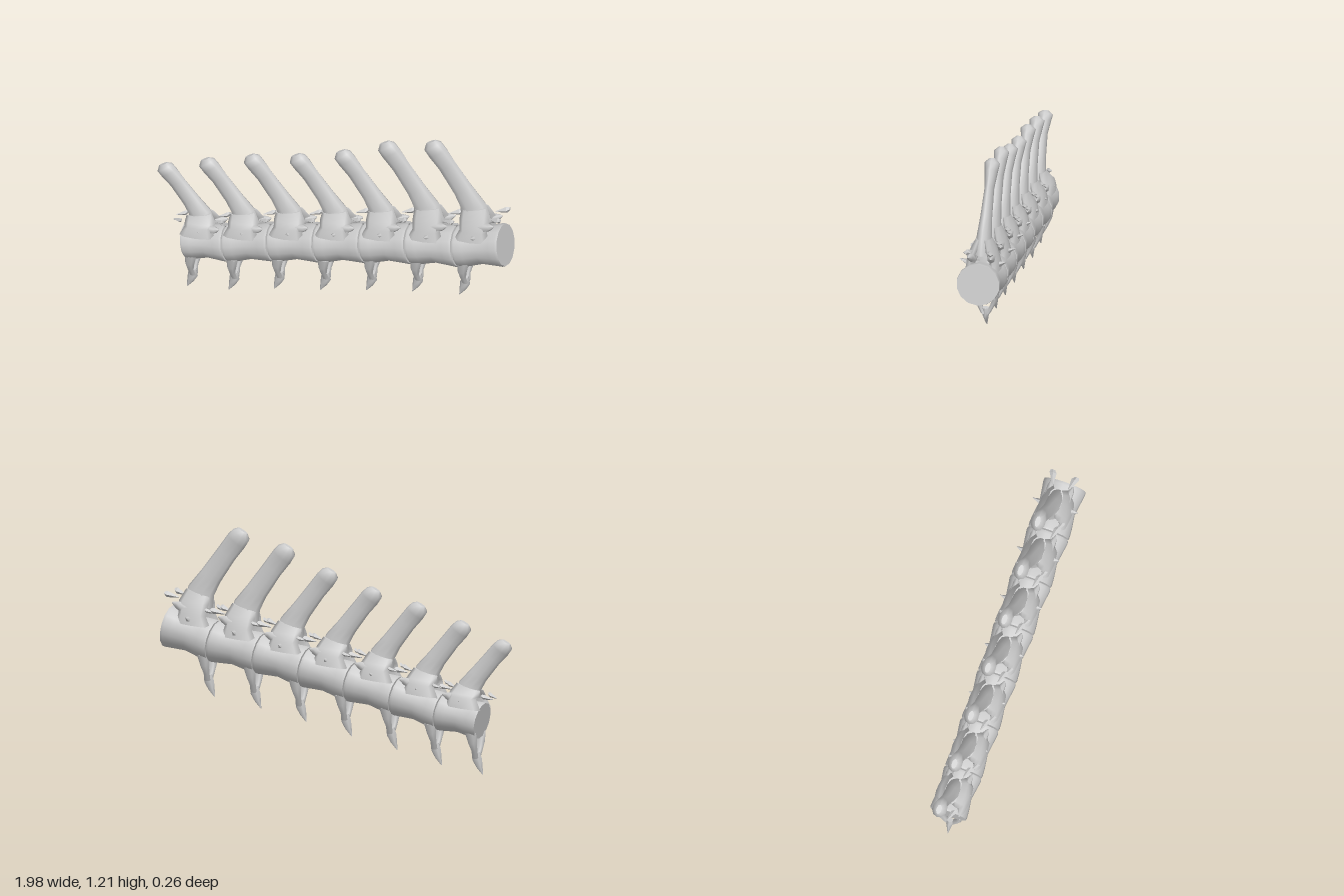
import * as THREE from 'three';

const material = new THREE.MeshStandardMaterial({ color: 0xcccccc, side: THREE.DoubleSide });

// Skin over elliptical rings [x, y, z, direction in degrees, half width, half depth]
function loft(name, rings, sides = 10) {
  const pos = [], index = [];
  const ringPoint = ([x, y, z, deg, a, b], j) => {
    const phi = THREE.MathUtils.degToRad(deg), th = (j / sides) * Math.PI * 2;
    const u = a * Math.cos(th);
    return [x + Math.sin(phi) * u, y - Math.cos(phi) * u, z + b * Math.sin(th)];
  };
  rings.forEach((r) => { for (let j = 0; j < sides; j++) pos.push(...ringPoint(r, j)); });
  for (let i = 0; i < rings.length - 1; i++) {
    for (let j = 0; j < sides; j++) {
      const k = (j + 1) % sides, p = i * sides, q = p + sides;
      index.push(p + j, q + j, p + k, p + k, q + j, q + k);
    }
  }
  // Caps have their own vertices so the rims stay sharp
  [rings[0], rings[rings.length - 1]].forEach((r, end) => {
    const c = pos.length / 3;
    pos.push(r[0], r[1], r[2]);
    for (let j = 0; j < sides; j++) pos.push(...ringPoint(r, j));
    for (let j = 0; j < sides; j++) {
      const m = c + 1 + j, n = c + 1 + ((j + 1) % sides);
      index.push(c, end ? n : m, end ? m : n);
    }
  });
  const geo = new THREE.BufferGeometry();
  geo.setAttribute('position', new THREE.Float32BufferAttribute(pos, 3));
  geo.setIndex(index);
  geo.computeVertexNormals();
  const mesh = new THREE.Mesh(geo, material);
  mesh.name = name;
  return mesh;
}

// Slim faceted splinter of bone
function chip(x, y, z, s, side) {
  const m = loft('jointSplinter', [
    [x - 0.035 * s, y - 0.012 * s, z - 0.012 * side, 15, 0.003, 0.003],
    [x + 0.022 * s, y + 0.003, z + 0.005 * side, 15, 0.017 * s, 0.02 * s],
    [x + 0.036 * s, y + 0.01, z + 0.01 * side, 15, 0.008, 0.012],
  ], 4);
  m.geometry = m.geometry.toNonIndexed();
  m.geometry.computeVertexNormals();
  return m;
}

// Centres of the joints between vertebrae, tail end first
const joints = [[-0.82, 0.285], [-0.585, 0.32], [-0.33, 0.385], [-0.07, 0.44],
  [0.19, 0.5], [0.45, 0.555], [0.715, 0.6], [0.978, 0.665]];
// Height of each spine tip above its vertebra centre
const spineHeights = [0.415, 0.45, 0.47, 0.475, 0.5, 0.56, 0.57];
const radius = (i) => 0.099 + 0.002 * i;

function createVertebra(i) {
  const g = new THREE.Group();
  g.name = 'vertebra' + (i + 1);
  const [px, py] = joints[i], [qx, qy] = joints[i + 1];
  const cx = (px + qx) / 2, cy = (py + qy) / 2;

  // Waisted body
  g.add(loft('vertebralBody', [[0.015, 0.98], [0.06, 1], [0.22, 0.97], [0.5, 0.87],
    [0.78, 0.96], [0.93, 1.01], [0.985, 0.99]].map(([t, f]) => {
    const r = radius(i + t) * f;
    return [px + (qx - px) * t, py + (qy - py) * t, 0, 11, r, r * 1.02];
  }), 14));

  // Swept-back spine with a knobbed tip
  const k = spineHeights[i] / 0.57, w = Math.sqrt(k);
  g.add(loft('neuralSpine', [
    [-0.035, 0.15, 95, 0.086, 0.05], [-0.055, 0.23, 108, 0.076, 0.038],
    [-0.11, 0.31, 122, 0.061, 0.03], [-0.2, 0.435, 125, 0.056, 0.024],
    [-0.255, 0.505, 125, 0.058, 0.034], [-0.283, 0.54, 122, 0.053, 0.04],
    [-0.293, 0.562, 120, 0.03, 0.014],
  ].map(([x, y, d, a, b]) => [cx + x * (0.5 + k / 2), cy + y * k, 0, d, a * w, b])));

  for (const s of [1, -1]) {
    // Neural arch wall beside the canal
    g.add(loft('archWall', [
      [cx - 0.035, cy + 0.055, s * 0.066, 95, 0.1, 0.028],
      [cx - 0.03, cy + 0.11, s * 0.06, 95, 0.078, 0.026],
      [cx - 0.03, cy + 0.17 * k, s * 0.04, 95, 0.085, 0.026],
      [cx - 0.045, cy + 0.22 * k, s * 0.02, 105, 0.07, 0.02],
    ], 8));

    // Joint processes ahead of and behind the arch
    g.add(loft('frontProcess', [
      [cx + 0.0, cy + 0.13 * k, s * 0.05, 25, 0.035, 0.024],
      [cx + 0.06, cy + 0.155 * k, s * 0.055, 25, 0.02, 0.018],
      [cx + 0.085, cy + 0.165 * k, s * 0.06, 25, 0.004, 0.004],
    ], 6));

    // Side stub, larger toward the front of the column
    const reach = 0.03 + 0.006 * i;
    const stub = new THREE.Mesh(new THREE.ConeGeometry(0.035, reach * 1.6, 5), material);
    stub.name = 'sideProcess';
    stub.position.set(cx - 0.02, cy + 0.085, s * (0.06 + reach * 0.3));
    stub.rotation.x = s * 1.2;
    g.add(stub);

    // Chevron arm
    const bx = px + 0.022, by = py - radius(i);
    g.add(loft('chevronArm', [
      [bx + 0.015, by - 0.1, s * 0.012, 90, 0.018, 0.012],
      [bx + 0.01, by - 0.06, s * 0.032, 90, 0.017, 0.014],
      [bx + 0.013, by - 0.015, s * 0.05, 90, 0.025, 0.016],
      [bx + 0.02, by + 0.04, s * 0.06, 90, 0.032, 0.016],
    ], 6));
  }

  // Pointed chevron blade
  const bx = px + 0.02, by = py - radius(i);
  g.add(loft('chevronBlade', [
    [bx - 0.02, by - 0.184, 0, 80, 0.002, 0.002],
    [bx - 0.002, by - 0.145, 0, 80, 0.018, 0.01],
    [bx + 0.012, by - 0.105, 0, 80, 0.028, 0.018],
    [bx + 0.014, by - 0.07, 0, 85, 0.014, 0.026],
  ], 6));
  return g;
}

export function createModel() {
  const model = new THREE.Group();
  model.name = 'spinalColumn';
  for (let i = 0; i < 7; i++) model.add(createVertebra(i));

  // Loose splinters over every joint
  joints.forEach(([x, y], i) => {
    const inner = i > 0 && i < 7, size = 0.75 + 0.035 * i;
    for (const s of [1, -1]) {
      model.add(chip(x - 0.042, y + 0.13 + 0.006 * i, s * (0.035 + 0.003 * i), size, s));
      if (inner) model.add(chip(x - 0.005, y + 0.135 + 0.005 * i, s * 0.065, size * 0.7, s));
    }
  });
  return model;
}
